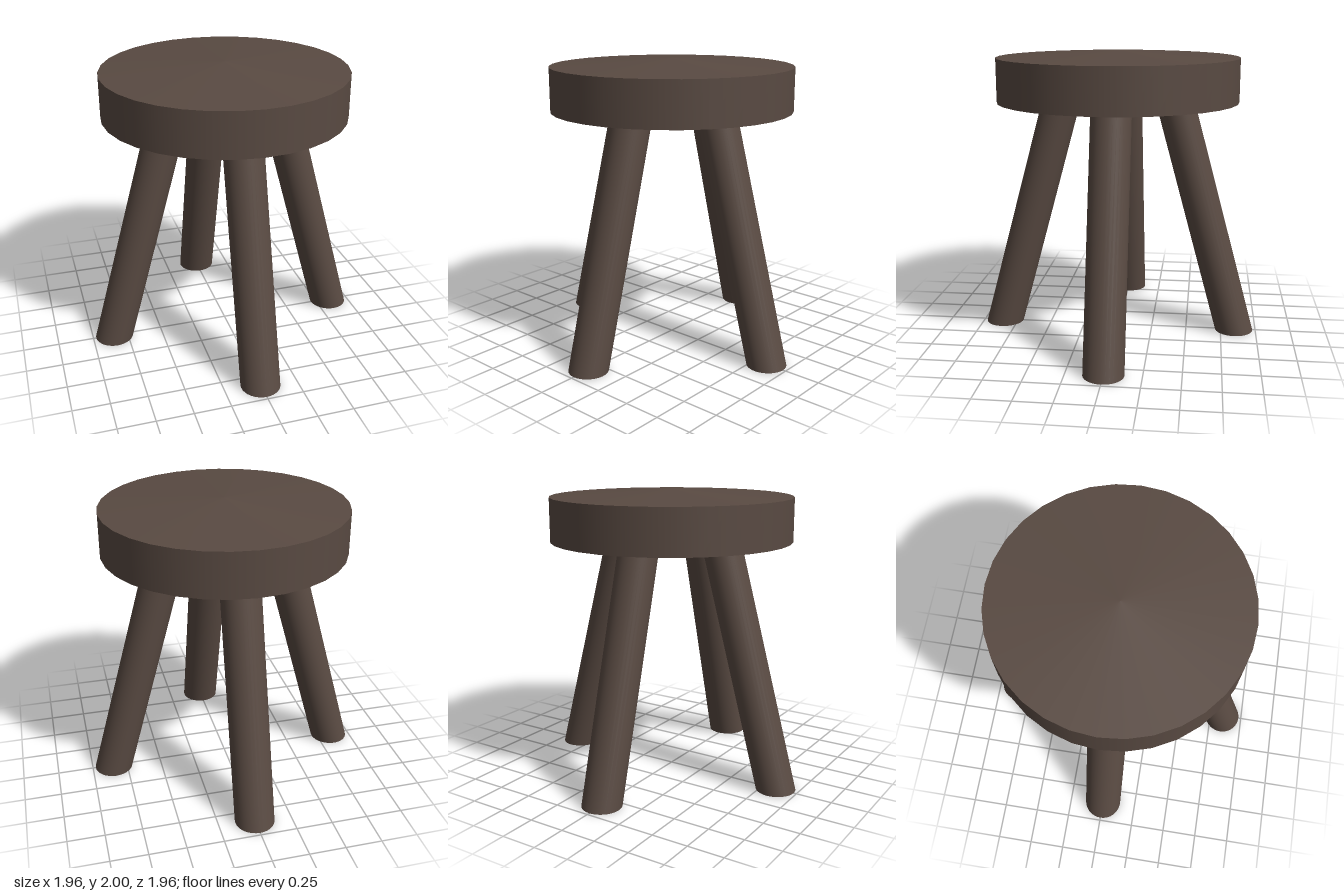
import * as THREE from 'three';

const SIDES = 32;
const SEAT_R = 0.832, SEAT_BOTTOM = 1.65, SEAT_RIM = 1.95, SEAT_TOP = 2;
const LEG_R = 0.135, FOOT = 0.845, LEG_TOP = 0.395;

export function createModel() {
  const stool = new THREE.Group();
  stool.name = 'stool';
  const wood = new THREE.MeshStandardMaterial({ color: 0x594a42 });

  const add = (parent, name, geometry) => {
    const mesh = new THREE.Mesh(geometry, wood);
    mesh.name = name;
    parent.add(mesh);
    return mesh;
  };

  // Seat: round edge, flat underside and a very shallow conical top
  const seat = new THREE.Group();
  seat.name = 'seat';
  stool.add(seat);
  const rimH = SEAT_RIM - SEAT_BOTTOM, domeH = SEAT_TOP - SEAT_RIM;
  add(seat, 'seatEdge', new THREE.CylinderGeometry(SEAT_R, SEAT_R, rimH, SIDES, 1, true))
    .position.y = SEAT_BOTTOM + rimH / 2;
  add(seat, 'seatTop', new THREE.ConeGeometry(SEAT_R, domeH, SIDES, 1, true))
    .position.y = SEAT_RIM + domeH / 2;
  add(seat, 'seatUnderside', new THREE.CircleGeometry(SEAT_R, SIDES).rotateX(Math.PI / 2))
    .position.y = SEAT_BOTTOM;

  // Legs: cylinders sheared outwards, so both ends stay level
  const slope = (LEG_TOP - FOOT) / SEAT_BOTTOM;
  const legGeometry = new THREE.CylinderGeometry(LEG_R, LEG_R, SEAT_BOTTOM, SIDES)
    .translate(0, SEAT_BOTTOM / 2, 0)
    .applyMatrix4(new THREE.Matrix4().set(
      1, slope, 0, FOOT,
      0, 1, 0, 0,
      0, 0, 1, 0,
      0, 0, 0, 1));
  ['leftLeg', 'backLeg', 'rightLeg', 'frontLeg'].forEach((name, i) => {
    add(stool, name, legGeometry).rotation.y = i * Math.PI / 2;
  });

  return stool;
}
